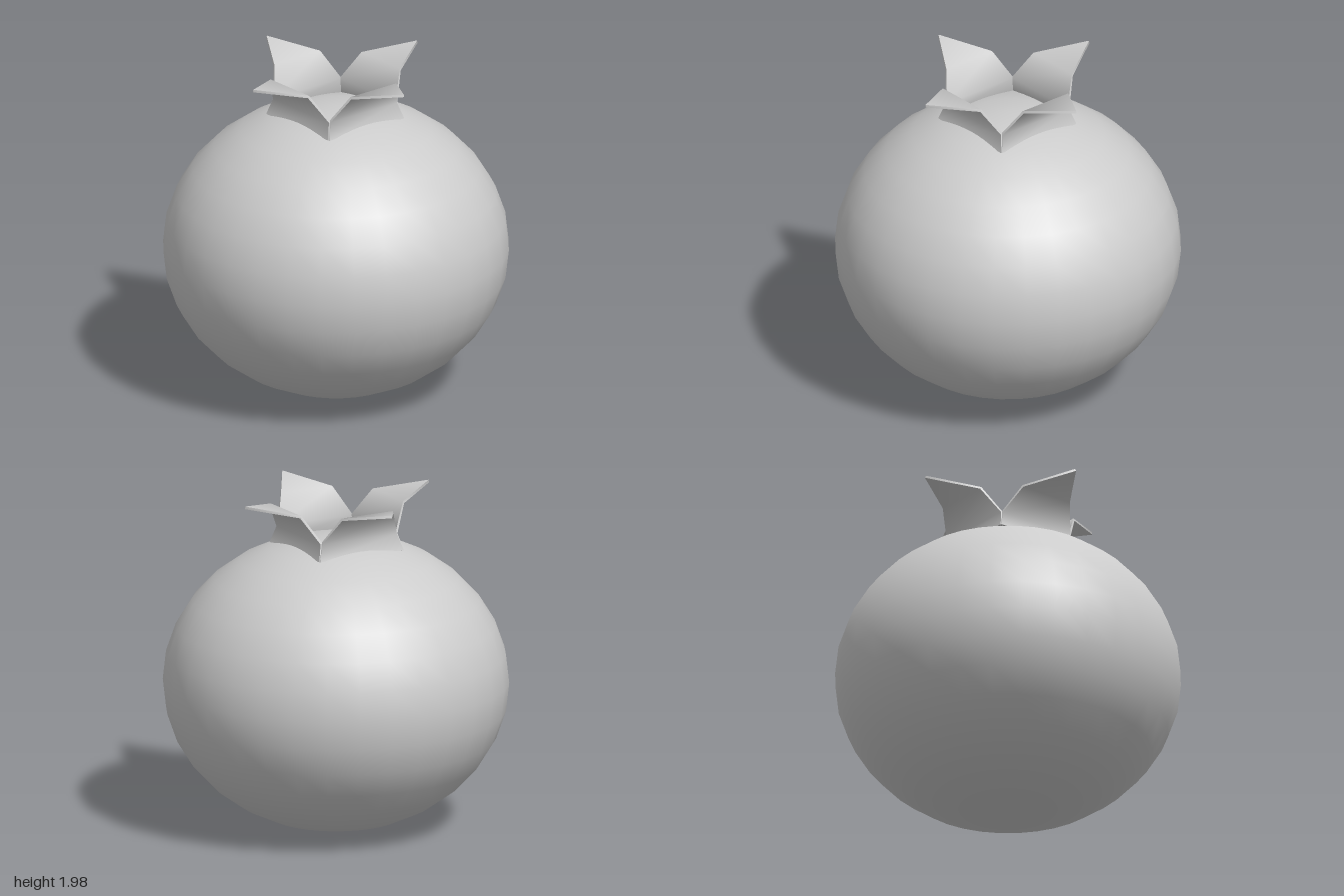
import * as THREE from 'three';
import { toCreasedNormals } from 'three/addons/utils/BufferGeometryUtils.js';

// Thin bent petal facing +z, lofted through rows of [distance out, height, half width]
function petalGeometry(rows, thickness) {
  const positions = [];
  const index = [];
  const h = thickness / 2;

  rows.forEach(([r, y, w], i) => {
    const a = rows[Math.max(i - 1, 0)];
    const b = rows[Math.min(i + 1, rows.length - 1)];
    const n = new THREE.Vector2(b[1] - a[1], a[0] - b[0]).normalize().multiplyScalar(h);
    // outer left, outer right, inner right, inner left
    positions.push(-w, y + n.y, r + n.x, w, y + n.y, r + n.x);
    positions.push(w, y - n.y, r - n.x, -w, y - n.y, r - n.x);
  });

  for (let i = 0; i < rows.length - 1; i++) {
    for (let j = 0; j < 4; j++) {
      const a = i * 4 + j;
      const b = i * 4 + (j + 1) % 4;
      index.push(a, b, b + 4, a, b + 4, a + 4);
    }
  }
  const t = (rows.length - 1) * 4;
  index.push(0, 2, 1, 0, 3, 2, t, t + 1, t + 2, t, t + 2, t + 3);

  const geometry = new THREE.BufferGeometry();
  geometry.setAttribute('position', new THREE.Float32BufferAttribute(positions, 3));
  geometry.setIndex(index);
  return toCreasedNormals(geometry, 1.05);
}

export function createModel() {
  const model = new THREE.Group();
  model.name = 'fruit';
  const material = new THREE.MeshStandardMaterial({ color: 0xcccccc });

  // Slightly flattened round body
  const body = new THREE.Mesh(new THREE.SphereGeometry(1, 32, 16), material);
  body.name = 'body';
  body.scale.y = 0.865;
  body.position.y = 0.867;
  model.add(body);

  // Crown of four petals: pinched neck, then flaring out to a point
  const crown = new THREE.Group();
  crown.name = 'crown';
  crown.position.x = -0.006;
  const petal = petalGeometry([
    [0.277, 1.665, 0.28],
    [0.25, 1.765, 0.25],
    [0.345, 1.92, 0.172],
    [0.615, 1.973, 0.002],
  ], 0.015);
  for (let i = 0; i < 4; i++) {
    const mesh = new THREE.Mesh(petal, material);
    mesh.name = `petal${i + 1}`;
    mesh.rotation.y = i * Math.PI / 2;
    crown.add(mesh);
  }
  model.add(crown);

  return model;
}
